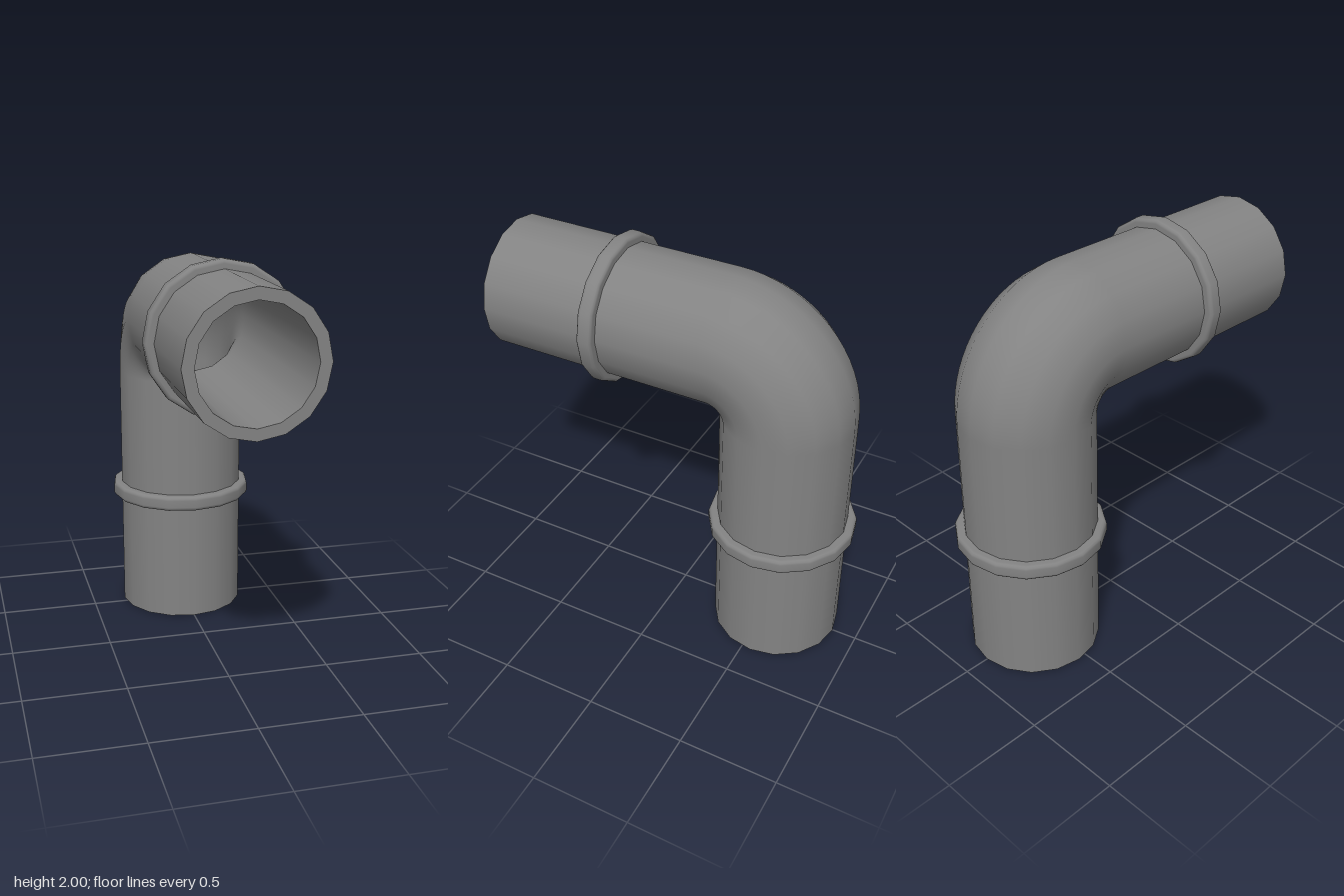
import * as THREE from 'three';

const SIDES = 16, OUTER = 0.326, BORE = 0.27;
const AXIS_Y = 1.63, AXIS_Z = -0.547, FRONT_Z = 0.92, BEND = 0.33, BEND_STEPS = 16;

// Centre line: straight up, quarter bend, straight forward
function stations() {
  const list = [{ y: 0, z: AXIS_Z, a: 0 }];
  for (let i = 0; i <= BEND_STEPS; i++) {
    const a = (i / BEND_STEPS) * Math.PI / 2;
    list.push({
      y: AXIS_Y - BEND + BEND * Math.sin(a),
      z: AXIS_Z + BEND - BEND * Math.cos(a),
      a,
    });
  }
  list.push({ y: AXIS_Y, z: FRONT_Z, a: Math.PI / 2 });
  return list;
}

// Sweeps a round section along the centre line; inward flips it for the bore
function sweep(radius, inward) {
  const position = [], normal = [], index = [], path = stations();
  const sign = inward ? -1 : 1, row = SIDES + 1;
  path.forEach(({ y, z, a }, i) => {
    for (let j = 0; j <= SIDES; j++) {
      const t = (j / SIDES) * Math.PI * 2;
      const nx = Math.cos(t), ny = Math.sin(t) * Math.sin(a), nz = -Math.sin(t) * Math.cos(a);
      position.push(radius * nx, y + radius * ny, z + radius * nz);
      normal.push(sign * nx, sign * ny, sign * nz);
      if (i === path.length - 1 || j === SIDES) continue;
      const p = i * row + j, q = p + row;
      if (inward) index.push(p, q, p + 1, p + 1, q, q + 1);
      else index.push(p, p + 1, q, p + 1, q + 1, q);
    }
  });
  const geometry = new THREE.BufferGeometry();
  geometry.setAttribute('position', new THREE.Float32BufferAttribute(position, 3));
  geometry.setAttribute('normal', new THREE.Float32BufferAttribute(normal, 3));
  geometry.setIndex(index);
  return geometry;
}

// Collar band with rounded rims
function collarGeometry() {
  const r = 0.37, half = 0.039, round = 0.02, points = [new THREE.Vector2(OUTER - 0.02, -half)];
  for (const side of [-1, 1]) {
    for (let i = 0; i <= 3; i++) {
      const a = (side < 0 ? i / 3 - 1 : i / 3) * Math.PI / 2;
      points.push(new THREE.Vector2(
        r - round + round * Math.cos(a),
        side * (half - round) + round * Math.sin(a),
      ));
    }
  }
  points.push(new THREE.Vector2(OUTER - 0.02, half));
  return new THREE.LatheGeometry(points, SIDES);
}

export function createModel() {
  const group = new THREE.Group();
  group.name = 'pipeElbow';
  const material = new THREE.MeshStandardMaterial({ color: 0x838383 });
  const add = (name, geometry, y = 0, z = 0, tilt = 0) => {
    const mesh = new THREE.Mesh(geometry, material);
    mesh.name = name;
    mesh.position.set(0, y, z);
    mesh.rotation.x = tilt;
    group.add(mesh);
  };

  // Pipe wall
  add('pipeOuterWall', sweep(OUTER, false));
  add('pipeBore', sweep(BORE, true));

  // Annular end faces
  const rim = new THREE.RingGeometry(BORE, OUTER, SIDES);
  add('frontRim', rim, AXIS_Y, FRONT_Z);
  add('bottomRim', rim, 0, AXIS_Z, Math.PI / 2);

  // Raised collars, one on each leg
  const collar = collarGeometry();
  add('lowerCollar', collar, 0.653, AXIS_Z);
  add('frontCollar', collar, AXIS_Y, 0.34, Math.PI / 2);

  return group;
}
